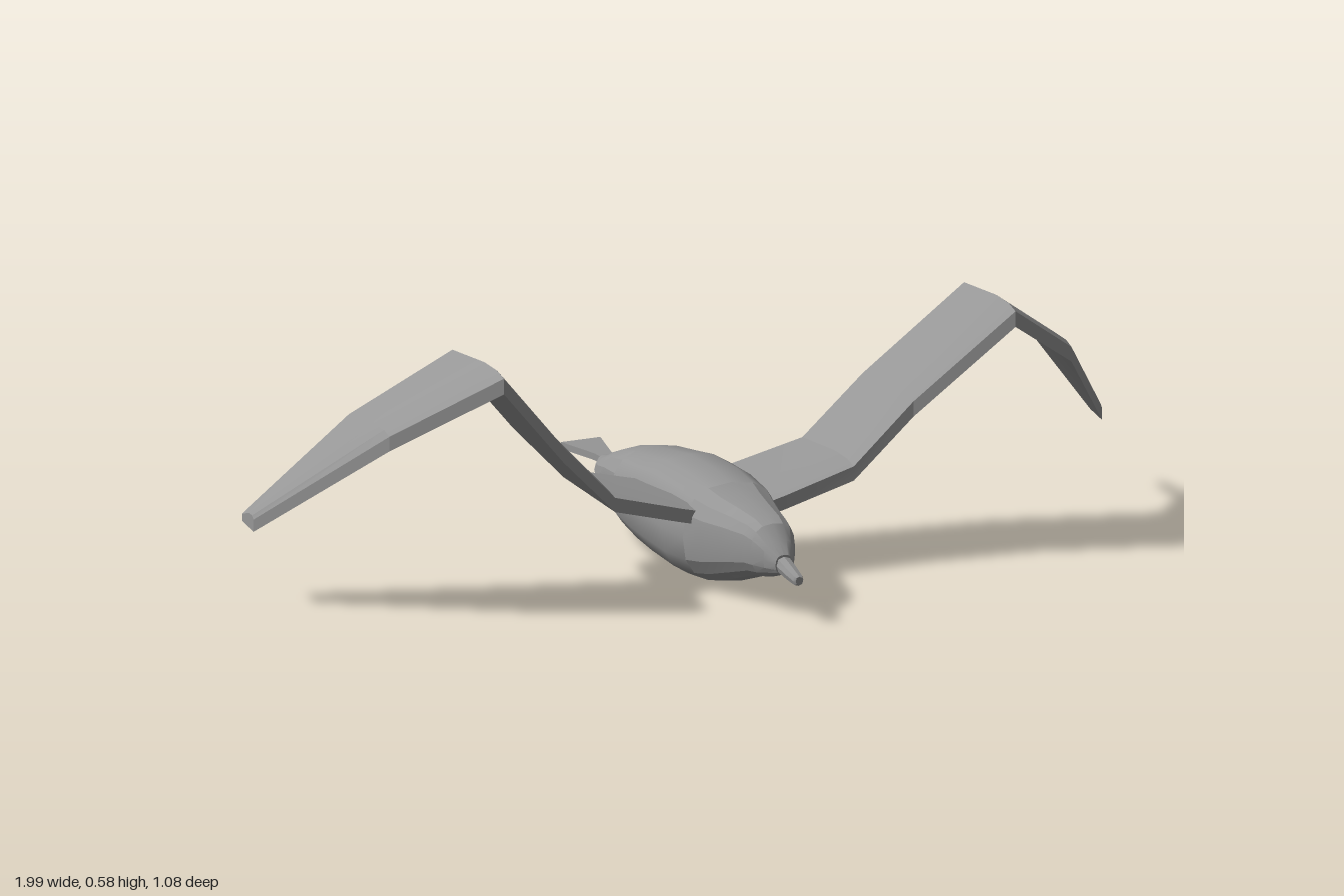
import * as THREE from 'three';
import { toCreasedNormals } from 'three/addons/utils/BufferGeometryUtils.js';

const plumage = new THREE.MeshStandardMaterial({ color: 0x969696 });

// Skin a row of rings; each ring runs counterclockwise seen from the first end.
function loft(name, rings, crease) {
  const n = rings[0].length;
  const index = [];
  for (let i = 0; i < rings.length - 1; i++) {
    for (let j = 0; j < n; j++) {
      const k = (j + 1) % n;
      const a = i * n + j, b = i * n + k, c = a + n, d = b + n;
      index.push(a, c, d, a, d, b);
    }
  }
  const last = (rings.length - 1) * n;
  for (let j = 1; j < n - 1; j++) {
    index.push(0, j, j + 1, last, last + j + 1, last + j);
  }
  const geometry = new THREE.BufferGeometry();
  geometry.setAttribute('position', new THREE.Float32BufferAttribute(rings.flat(2), 3));
  geometry.setIndex(index);
  const mesh = new THREE.Mesh(toCreasedNormals(geometry, crease), plumage);
  mesh.name = name;
  return mesh;
}

// Slightly squared oval ring across z, from its bottom, top and half width.
function oval([z, bottom, top, half], sides) {
  const square = (v) => Math.sign(v) * Math.abs(v) ** 0.8;
  return Array.from({ length: sides }, (_, j) => {
    const a = (j / sides) * Math.PI * 2;
    return [half * square(Math.cos(a)), (top + bottom) / 2 + ((top - bottom) / 2) * square(Math.sin(a)), z];
  });
}

// Rectangular ring across z.
const slab = ([z, bottom, top, half]) =>
  [[half, bottom, z], [half, top, z], [-half, top, z], [-half, bottom, z]];

// Wing stations: x, underside y, leading z, trailing z, thickness
const WING = [
  [0.07, 0.145, 0.22, -0.055, 0.04],
  [0.12, 0.157, 0.22, -0.055, 0.04],
  [0.28, 0.2, 0.22, -0.035, 0.042],
  [0.41, 0.33, 0.24, -0.01, 0.045],
  [0.6, 0.532, 0.345, 0.09, 0.046],
  [0.8, 0.393, 0.2, 0, 0.043],
  [0.995, 0.172, -0.06, -0.118, 0.036],
];

// Wing section: fraction of chord, fraction of thickness
const SECTION = [[0, 0], [0, 0.75], [0.13, 0.95], [0.38, 1], [1, 0.7], [1, 0.25]];

function wing(name, side) {
  const rings = WING.map(([x, y, front, back, thick]) => {
    const ring = SECTION.map(([c, t]) => [side * x, y + t * thick, front + (back - front) * c]);
    return side > 0 ? ring : ring.reverse();
  });
  return loft(name, rings, 0.25);
}

export function createModel() {
  const group = new THREE.Group();
  group.name = 'bird';

  // Head, torso and rump: z, bottom, top, half width
  const body = [
    [0.465, 0.092, 0.135, 0.02],
    [0.44, 0.083, 0.162, 0.037],
    [0.41, 0.073, 0.19, 0.052],
    [0.38, 0.068, 0.2, 0.06],
    [0.31, 0.043, 0.209, 0.078],
    [0.25, 0.022, 0.216, 0.097],
    [0.2, 0.01, 0.226, 0.112],
    [0.11, 0.001, 0.237, 0.119],
    [0, 0.008, 0.236, 0.119],
    [-0.08, 0.016, 0.223, 0.114],
    [-0.17, 0.029, 0.21, 0.103],
    [-0.25, 0.046, 0.19, 0.088],
    [-0.3, 0.065, 0.17, 0.078],
    [-0.345, 0.088, 0.149, 0.061],
    [-0.415, 0.111, 0.127, 0.018],
  ].map((s) => oval(s, 16));
  group.add(
    loft('head', body.slice(0, 7), 0.35),
    loft('torso', body.slice(6, 11), 0.8),
    loft('rump', body.slice(10), 0.35),
  );

  // Beak
  const beak = [
    [0.54, 0.088, 0.106, 0.008],
    [0.535, 0.085, 0.109, 0.012],
    [0.5, 0.089, 0.12, 0.016],
    [0.455, 0.095, 0.134, 0.018],
  ];
  group.add(loft('beak', beak.map((s) => oval(s, 8)), 0.5));

  // Fanned flat tail
  const tail = [[-0.39, 0.112, 0.127, 0.018], [-0.43, 0.112, 0.127, 0.019], [-0.54, 0.112, 0.127, 0.046]];
  group.add(loft('tail', tail.map(slab), 0.3));

  group.add(wing('leftWing', 1), wing('rightWing', -1));
  return group;
}
